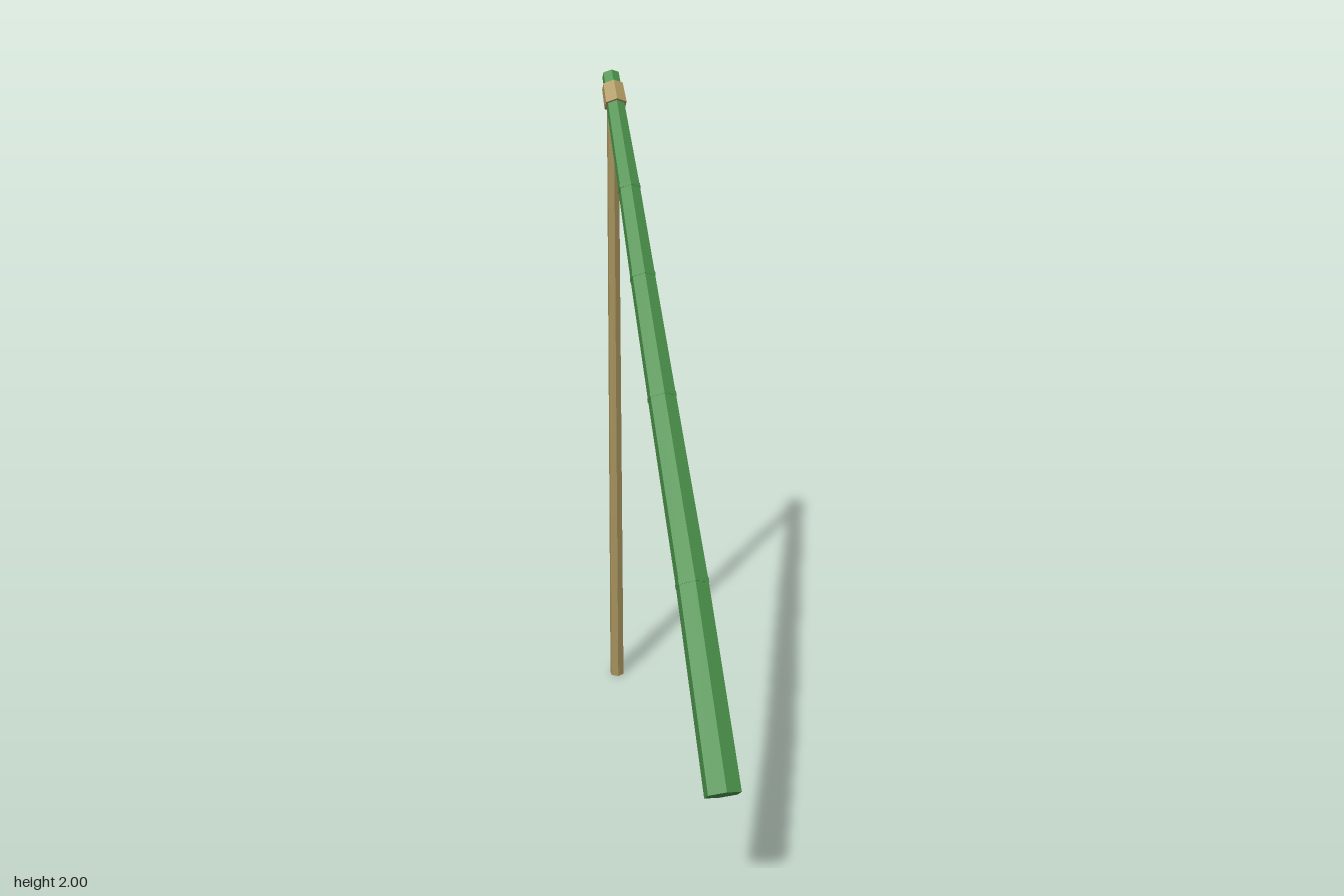
import * as THREE from 'three';

const material = (color) => new THREE.MeshStandardMaterial({ color, flatShading: true });

// Six-sided tapered rod between two points of the x = 0 plane, given as [z, y]
function rod(name, a, b, ra, rb, mat) {
  const start = new THREE.Vector3(0, a[1], a[0]);
  const end = new THREE.Vector3(0, b[1], b[0]);
  const axis = end.clone().sub(start);
  const mesh = new THREE.Mesh(new THREE.CylinderGeometry(rb, ra, axis.length(), 6), mat);
  mesh.name = name;
  mesh.position.copy(start).add(end).multiplyScalar(0.5);
  mesh.rotation.x = Math.atan2(axis.z, axis.y); // keeps a corner edge facing up
  return mesh;
}

export function createModel() {
  const model = new THREE.Group();
  model.name = 'bambooSpout';
  const green = material(0x4a904a);
  const wood = material(0xa5915c);
  const rope = material(0xb09a62);

  // Slightly bent bamboo pole: [z, y, radius] at each node, from the butt to the tip
  const nodes = [
    [0.702, 0.39, 0.051], [0.352, 0.822, 0.046], [-0.016, 1.215, 0.041],
    [-0.265, 1.487, 0.037], [-0.45, 1.698, 0.033], [-0.715, 1.979, 0.026],
  ];
  const pole = new THREE.Group();
  pole.name = 'bambooPole';
  for (let i = 0; i < nodes.length - 1; i++) {
    const a = nodes[i], b = nodes[i + 1];
    pole.add(rod('poleSegment', a, b, a[2], b[2], green));
    // Thin raised ring at the joint
    if (i > 0) {
      const p = nodes[i - 1];
      const d = new THREE.Vector2(b[0] - p[0], b[1] - p[1]).setLength(0.006);
      pole.add(rod('nodeRing', [a[0] - d.x, a[1] - d.y], [a[0] + d.x, a[1] + d.y],
        a[2] + 0.0015, a[2] + 0.0015, green));
    }
  }
  model.add(pole);

  // Upright prop and the binding that ties it to the pole
  model.add(rod('supportPost', [-0.716, 0], [-0.684, 1.955], 0.023, 0.018, wood));
  model.add(rod('binding', [-0.641, 1.902], [-0.687, 1.95], 0.035, 0.033, rope));
  return model;
}
